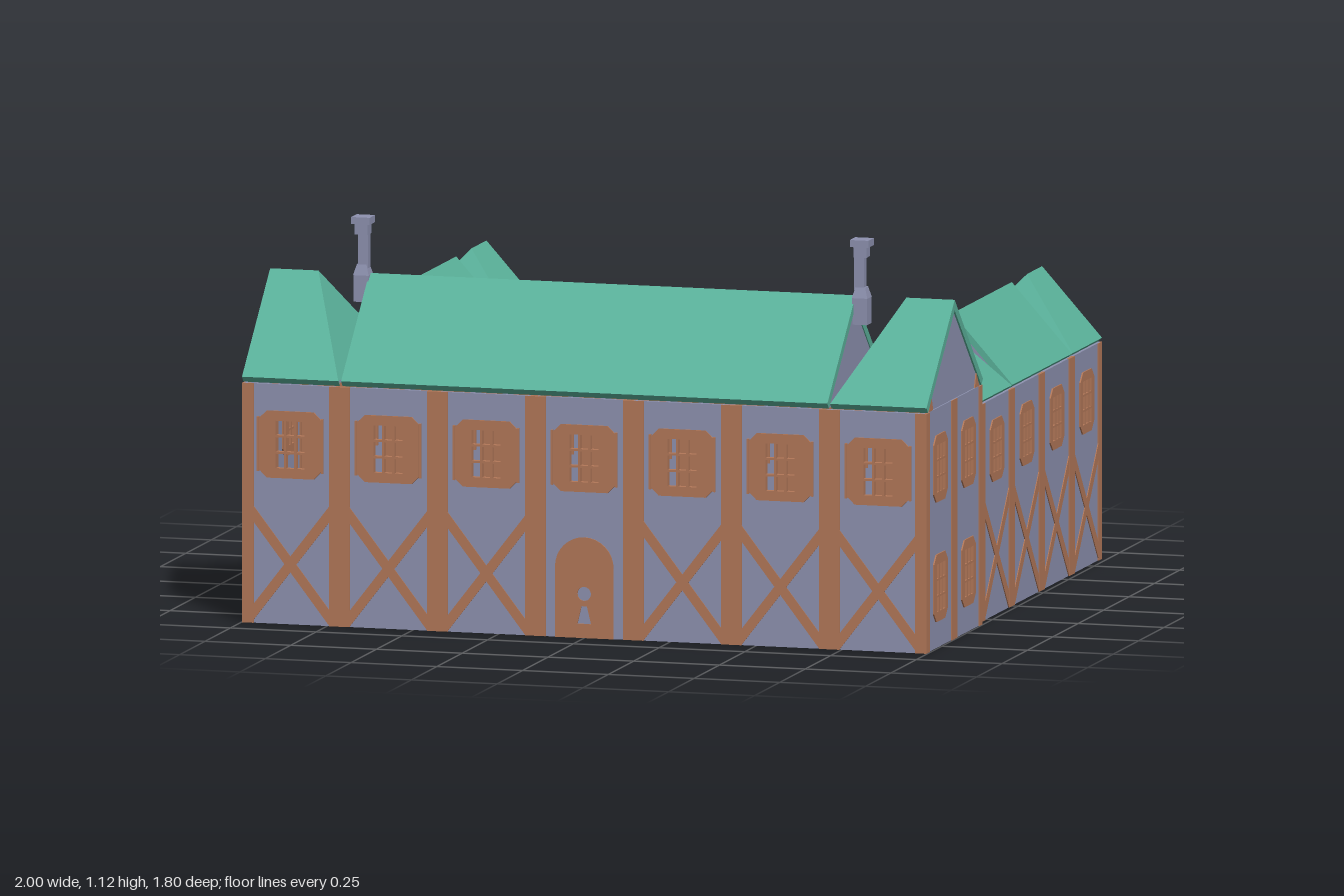
import * as THREE from 'three';

const mat = (name, color) => Object.assign(
  new THREE.MeshStandardMaterial({ color, side: THREE.DoubleSide, flatShading: true }), { name });

export function createModel() {
  const plaster = mat('plaster', 0x8e92b0);
  const timber = mat('timber', 0xb37859);
  const roofGreen = mat('roofGreen', 0x5ab19a);
  const model = new THREE.Group();
  model.name = 'courtyardHouse';

  const add = (parent, name, geometry, material) => {
    const m = new THREE.Mesh(geometry, material);
    m.name = name;
    parent.add(m);
    return m;
  };
  const poly = (pts) => new THREE.Shape(pts.map(([x, y]) => new THREE.Vector2(x, y)));
  const rect = (x0, y0, x1, y1) => poly([[x0, y0], [x1, y0], [x1, y1], [x0, y1]]);
  // plate of a given thickness, centred on its own plane
  const plate = (shape, t) => new THREE.ExtrudeGeometry(shape, { depth: t, bevelEnabled: false, curveSegments: 8 })
    .translate(0, 0, -t / 2);

  const OPEN_W = 0.09;

  // window: chamfered frame with three by three open panes
  function addWindow(wall, { x, y, w, h, oh, rails }) {
    const a = w / 2, b = h / 2, c = 0.025;
    const frame = poly([[x - a + c, y - b], [x + a - c, y - b], [x + a, y - b + c], [x + a, y + b - c],
      [x + a - c, y + b], [x - a + c, y + b], [x - a, y + b - c], [x - a, y - b + c]]);
    const pw = OPEN_W / 3, ph = oh / 3, bar = 0.003;
    for (let i = -1; i <= 1; i++) for (let j = -1; j <= 1; j++) {
      const px = x + i * pw, py = y + j * ph;
      frame.holes.push(rect(px - pw / 2 + bar, py - ph / 2 + bar, px + pw / 2 - bar, py + ph / 2 - bar));
    }
    add(wall, 'windowFrame', plate(frame, 0.018), timber);
    if (rails) for (const s of [-1, 1])
      add(wall, 'windowRail', new THREE.BoxGeometry(0.006, 0.155, 0.026).translate(x + s * a, y, 0), timber);
  }

  // half-timbered wall in the XY plane
  function makeWall(name, outline, { windows = [], posts = [], y0 = 0, y1, braces = [], door = false }) {
    const wall = new THREE.Group();
    wall.name = name;
    for (const { x, y, oh } of windows)
      outline.holes.push(rect(x - OPEN_W / 2, y - oh / 2, x + OPEN_W / 2, y + oh / 2));
    add(wall, 'plasterPanel', plate(outline, 0.01), plaster);
    windows.forEach((w) => addWindow(wall, w));
    for (const [x, w] of posts)
      add(wall, 'post', new THREE.BoxGeometry(w, y1 - y0, 0.016).translate(x, (y0 + y1) / 2, 0), timber);
    for (const [x, w] of braces) for (const s of [-1, 1]) {
      const a = s * w / 2;
      add(wall, 'crossBrace', plate(poly([[x - a, 0], [x - a, 0.045], [x + a, 0.34], [x + a, 0.295]]), 0.015), timber);
    }
    if (door) {
      const d = new THREE.Shape();
      d.moveTo(-0.085, 0);
      d.lineTo(0.085, 0);
      d.lineTo(0.085, 0.2);
      d.absarc(0, 0.2, 0.085, 0, Math.PI, false);
      d.lineTo(-0.085, 0);
      d.holes.push(new THREE.Path().absarc(0, 0.125, 0.02, 0, Math.PI * 2, false));
      d.holes.push(poly([[-0.02, 0.04], [0.02, 0.04], [0.008, 0.09], [-0.008, 0.09]]));
      add(wall, 'door', plate(d, 0.018), timber);
    }
    return wall;
  }

  // roof slabs run along local x; "hip" leans the start end inward and closes it
  function roofPiece(name, { w, h, t, length, hip = 0 }) {
    const g = new THREE.Group();
    g.name = name;
    const L = Math.hypot(w, h), iw = w - t * h / L, iy = -t * w / L, ip = h - t * L / w;
    const geo = new THREE.ExtrudeGeometry(
      poly([[-w, 0], [-iw, iy], [0, ip], [iw, iy], [w, 0], [0, h]]), { depth: length, bevelEnabled: false });
    geo.rotateY(Math.PI / 2);
    const p = geo.attributes.position;
    for (let i = 0; i < p.count; i++)
      if (p.getX(i) < 1e-6) p.setX(i, hip * Math.max(0, p.getY(i)) / h);
    geo.computeVertexNormals();
    add(g, 'roofSlopes', geo, roofGreen);
    if (hip) {
      const tri = new THREE.BufferGeometry();
      tri.setAttribute('position', new THREE.Float32BufferAttribute([0, 0, -w, 0, 0, w, hip, h, 0], 3));
      tri.computeVertexNormals();
      add(g, 'hipSlope', tri, roofGreen);
    }
    // plaster gables under the open ends
    const gable = poly([[-iw, iy], [iw, iy], [0, ip]]);
    for (const x of hip ? [length - 0.008] : [0.006, length - 0.006])
      add(g, 'gable', plate(gable, 0.006).rotateY(Math.PI / 2).translate(x, 0, 0), plaster);
    if (hip) for (const s of [-1, 1]) {
      const foot = poly([[s * iw * 0.78, iy], [s * iw * 0.95, iy], [s * iw * 0.84, iy + 0.04]]);
      add(g, 'gableFoot', plate(foot, 0.008).rotateY(Math.PI / 2).translate(length - 0.006, 0, 0), timber);
    }
    return g;
  }

  // full roof: straight middle and a mirrored hipped piece at each end
  function makeRoof(name, dims, half, mid, hip) {
    const roof = new THREE.Group();
    roof.name = name;
    const middle = roofPiece('middleRoof', { ...dims, length: mid * 2 });
    middle.position.x = -mid;
    roof.add(middle);
    for (const s of [1, -1]) {
      const end = roofPiece('endRoof', { ...dims, length: half - mid - 0.008, hip });
      end.position.x = s * (mid + 0.008);
      if (s < 0) end.rotation.y = Math.PI;
      roof.add(end);
    }
    return roof;
  }

  // main house: long front and back walls
  const H = 0.678, bay = 2 / 7, cz = 0.615;
  const bays = [-3, -2, -1, 0, 1, 2, 3].map((i) => i * bay);
  const longPosts = [-2.5, -1.5, -0.5, 0.5, 1.5, 2.5].map((i) => [i * bay, 0.06]);
  for (const [name, z] of [['frontWall', 0.885], ['backWall', 0.347]]) {
    const wall = makeWall(name, rect(-0.995, 0, 0.995, H), {
      y1: H, door: true,
      windows: bays.map((x) => ({ x, y: 0.508, w: 0.187, h: 0.19, oh: 0.14, rails: true })),
      posts: [...longPosts, [-0.981, 0.034], [0.981, 0.034]],
      braces: bays.filter((x) => Math.abs(x) > 0.1).map((x) => [x, 0.228]),
    });
    wall.position.z = z;
    model.add(wall);
  }
  // main house: end walls
  for (const s of [-1, 1]) {
    const windows = [];
    for (const x of [-0.138, 0.138]) for (const y of [0.17, 0.508])
      windows.push({ x, y, w: 0.135, h: 0.19, oh: 0.14 });
    const wall = makeWall('endWall', rect(-0.272, 0, 0.272, H),
      { y1: H, windows, posts: [[0, 0.056], [-0.258, 0.03], [0.258, 0.03]] });
    wall.position.set(s * 0.99, 0, cz);
    wall.rotation.y = s * Math.PI / 2;
    model.add(wall);
  }
  const mainRoof = makeRoof('mainRoof', { w: 0.278, h: 0.265, t: 0.022 }, 0.998, 0.709, 0.14);
  mainRoof.position.set(0, 0.695, cz);
  model.add(mainRoof);

  // chimneys
  for (const s of [-1, 1]) {
    const chimney = new THREE.Group();
    chimney.name = 'chimney';
    const block = (name, w, y0, y1, x = 0) =>
      add(chimney, name, new THREE.BoxGeometry(w, y1 - y0, w).translate(x, (y0 + y1) / 2, 0), plaster);
    block('chimneyBase', 0.044, 0.88, 0.955);
    const flare = new THREE.CylinderGeometry(0.02, 0.032, 0.03, 4).rotateY(Math.PI / 4);
    add(chimney, 'chimneyFlare', flare.translate(0, 0.97, 0), plaster);
    block('chimneyShaft', 0.028, 0.975, 1.08, -s * 0.004);
    block('chimneyNeck', 0.038, 1.07, 1.1);
    block('chimneyCap', 0.054, 1.1, 1.12);
    chimney.position.set(s * 0.727, 0, cz);
    model.add(chimney);
  }

  // column turned from a short profile
  const columnGeo = new THREE.LatheGeometry([[0, 0], [0.024, 0], [0.024, 0.05], [0.016, 0.06], [0.015, 0.11],
    [0.021, 0.115], [0.021, 0.135], [0.015, 0.14], [0.014, 0.225], [0.02, 0.235], [0.02, 0.25], [0.016, 0.255],
    [0.018, 0.285], [0.025, 0.295], [0.025, 0.318], [0, 0.318]].map(([x, y]) => new THREE.Vector2(x, y)), 8);

  // two rear wings, open to the courtyard on columns
  const WH = 0.615, wz = -0.29, half = 0.588, wb = 0.295;
  const wingBays = [-1.5, -0.5, 0.5, 1.5].map((i) => i * wb);
  const wingPosts = [[-wb, 0.055], [0, 0.055], [wb, 0.055], [-half + 0.016, 0.032], [half - 0.016, 0.032]];
  const wingWindows = () => wingBays.map((x) => ({ x, y: 0.468, w: 0.135, h: 0.175, oh: 0.13 }));
  for (const s of [-1, 1]) {
    const wing = new THREE.Group();
    wing.name = s > 0 ? 'leftWing' : 'rightWing';
    model.add(wing);

    const outer = makeWall('outerWall', rect(-half, 0, half, WH), {
      y1: WH, windows: wingWindows(), posts: wingPosts, braces: wingBays.map((x) => [x, 0.24]),
    });
    outer.position.set(s * 0.977, 0, wz);
    outer.rotation.y = s * Math.PI / 2;
    wing.add(outer);

    // upper courtyard wall with a scalloped lower edge
    const edge = new THREE.Shape();
    edge.moveTo(-half, WH);
    edge.lineTo(-half, 0.325);
    const n = 24, r = half / n;
    for (let i = 0; i < n; i++) edge.absarc(-half + r * (2 * i + 1), 0.325, r, Math.PI, Math.PI * 2, false);
    edge.lineTo(half, WH);
    const inner = makeWall('courtyardWall', edge,
      { y0: 0.325, y1: WH, windows: wingWindows(), posts: wingPosts });
    inner.position.set(s * 0.643, 0, wz);
    inner.rotation.y = -s * Math.PI / 2;
    wing.add(inner);

    add(wing, 'ceiling', new THREE.BoxGeometry(0.33, 0.006, half * 2).translate(s * 0.81, 0.61, wz), plaster);
    for (let i = -2; i <= 2; i++)
      add(wing, 'column', columnGeo, plaster).position.set(s * 0.638, 0, wz + i * 0.294);

    const roof = makeRoof('wingRoof', { w: 0.175, h: 0.195, t: 0.017 }, 0.59, 0.292, 0.142);
    roof.position.set(s * 0.81, 0.626, wz);
    roof.rotation.y = Math.PI / 2;
    wing.add(roof);
  }
  return model;
}
